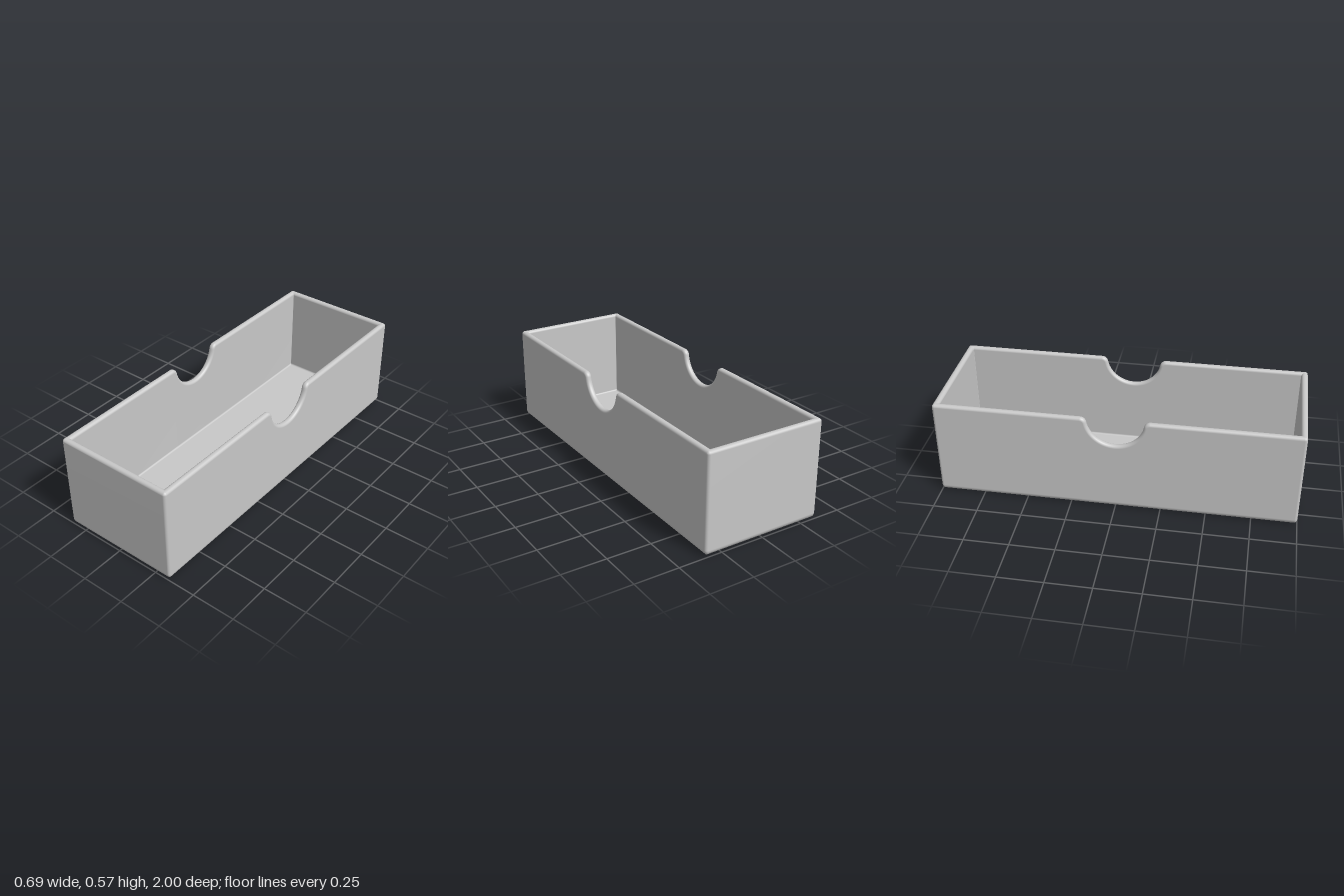
import * as THREE from 'three';

const W = 0.347, L = 1, H = 0.567;          // half width, half length, height
const WALL = 0.036, FLOOR = 0.032;
const EDGE = 0.016, FOOT = 0.035;           // rim and bottom rounding
const NOTCH = 0.157, FILLET = 0.035;        // finger notch radius and its shoulder

// Rim line through a notch: points {z, y} with the normal {nz, ny} pointing out of the wall
function notchRim() {
  const zc = Math.sqrt((NOTCH + FILLET) ** 2 - FILLET ** 2);
  const t = Math.atan2(FILLET, zc), half = [];
  for (let i = 0; i <= 20; i++) {
    const a = -Math.PI / 2 + (Math.PI / 2 - t) * i / 20;
    const c = Math.cos(a), s = Math.sin(a);
    half.push({ z: NOTCH * c, y: H + NOTCH * s, nz: -c, ny: -s });
  }
  for (let i = 1; i <= 8; i++) {
    const a = Math.PI - t + (t - Math.PI / 2) * i / 8;
    const c = Math.cos(a), s = Math.sin(a);
    half.push({ z: zc + FILLET * c, y: H - FILLET + FILLET * s, nz: c, ny: s });
  }
  const mirrored = half.slice(1).reverse().map(p => ({ ...p, z: -p.z, nz: -p.nz }));
  return [...mirrored, ...half];
}

// Stations around the plan: four rounded corners and the two notched sides
function perimeter() {
  const rim = notchRim(), list = [];
  const corner = (sx, sz, start) => {
    for (let i = 0; i <= 5; i++) list.push({ sx, sz, a: start + Math.PI / 2 * i / 5 });
  };
  const side = (sx, pts) => pts.forEach(p => list.push({ sx, notch: p }));
  side(1, rim);
  corner(1, 1, 0);
  corner(-1, 1, Math.PI / 2);
  side(-1, [...rim].reverse());
  corner(-1, -1, Math.PI);
  corner(1, -1, Math.PI * 1.5);
  return list;
}

// Wall section from underside to inner floor: inset d, with a fixed y or a drop below the rim
function section() {
  const pts = [], q = Math.PI / 2;
  for (let i = 0; i <= 7; i++) {
    const a = q * i / 7;
    pts.push({ d: FOOT * (1 - Math.sin(a)), y: FOOT * (1 - Math.cos(a)) });
  }
  for (let i = 0; i <= 5; i++) {
    const a = q * i / 5;
    pts.push({ d: EDGE * (1 - Math.cos(a)), drop: EDGE * (1 - Math.sin(a)) });
  }
  for (let i = 0; i <= 5; i++) {
    const a = q * i / 5;
    pts.push({ d: WALL - EDGE * (1 - Math.sin(a)), drop: EDGE * (1 - Math.cos(a)) });
  }
  const r = 0.01;
  for (let i = 0; i <= 3; i++) {
    const a = q * i / 3;
    pts.push({ d: WALL + r * (1 - Math.cos(a)), y: FLOOR + r * (1 - Math.sin(a)) });
  }
  return pts;
}

function place(s, p) {
  const dropped = p.drop !== undefined;
  if (s.notch) {
    const n = s.notch, drop = dropped ? p.drop : EDGE;
    return [s.sx * (W - p.d), dropped ? n.y - n.ny * drop : p.y, n.z - n.nz * drop];
  }
  const r = Math.max(EDGE - p.d, 0.002);
  return [
    s.sx * (W - p.d - r) + r * Math.cos(s.a),
    dropped ? H - p.drop : p.y,
    s.sz * (L - p.d - r) + r * Math.sin(s.a),
  ];
}

function trayGeometry() {
  const around = perimeter(), prof = section(), n = around.length;
  const pos = [], idx = [];
  for (const p of prof) for (const s of around) pos.push(...place(s, p));
  const under = prof.length * n, inside = under + 1, last = (prof.length - 1) * n;
  pos.push(0, 0, 0, 0, FLOOR, 0);
  for (let i = 0; i < n; i++) {
    const k = (i + 1) % n;
    for (let j = 0; j < prof.length - 1; j++) {
      const a = j * n + i, b = j * n + k;
      idx.push(a, a + n, b, b, a + n, b + n);
    }
    // underside and inner floor
    idx.push(under, i, k, last + i, inside, last + k);
  }
  const g = new THREE.BufferGeometry();
  g.setAttribute('position', new THREE.Float32BufferAttribute(pos, 3));
  g.setIndex(idx);
  g.computeVertexNormals();
  return g;
}

export function createModel() {
  const group = new THREE.Group();
  group.name = 'openTray';
  const grey = new THREE.MeshStandardMaterial({ color: 0xc8c8c8 });
  grey.name = 'light grey';
  const tray = new THREE.Mesh(trayGeometry(), grey);
  tray.name = 'notchedTray';
  group.add(tray);
  return group;
}
